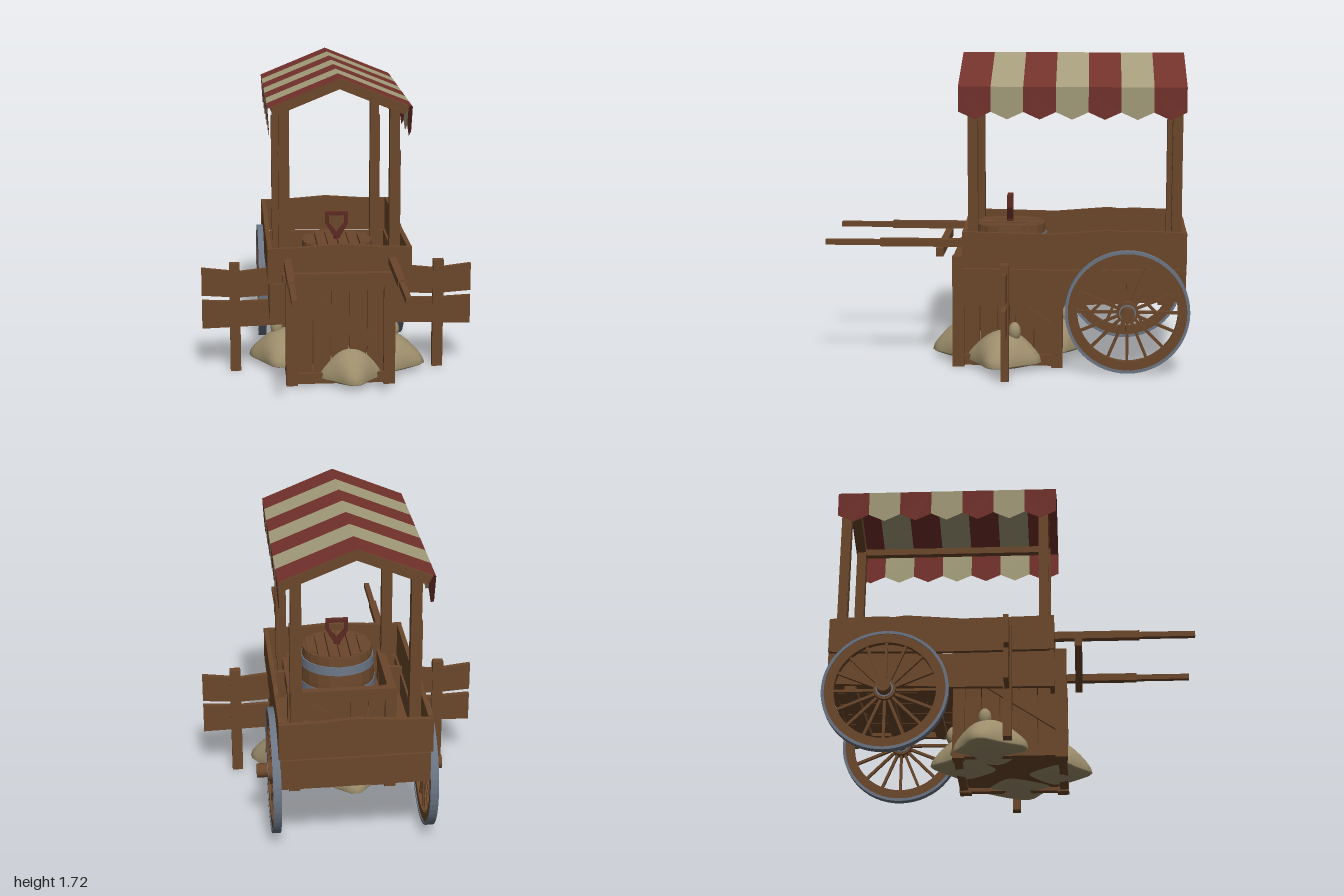
import * as THREE from 'three';
import { mergeVertices } from 'three/addons/utils/BufferGeometryUtils.js';

const mat = (name, color, extra = {}) => Object.assign(new THREE.MeshStandardMaterial({ color, ...extra }), { name });

export function createModel() {
  const root = new THREE.Group();
  root.name = 'marketCart';
  const wood = mat('wood', 0x6b472b);
  const red = mat('redCloth', 0x74322c, { side: THREE.DoubleSide });
  const cream = mat('creamCloth', 0xa59d7b, { side: THREE.DoubleSide });
  const burlap = mat('burlap', 0x9c8d6b);
  const iron = mat('iron', 0x6a7484);
  const grip = mat('redWood', 0x5e2a23);

  const add = (name, geo, material = wood, parent = root) => {
    const m = new THREE.Mesh(geo, material);
    m.name = name;
    parent.add(m);
    return m;
  };
  // Box given by its limits
  const box = (name, x0, x1, y0, y1, z0, z1, parent = root, material = wood) => {
    const m = add(name, new THREE.BoxGeometry(x1 - x0, y1 - y0, z1 - z0), material, parent);
    m.position.set((x0 + x1) / 2, (y0 + y1) / 2, (z0 + z1) / 2);
    return m;
  };
  const toShape = (pts) => new THREE.Shape(pts.map((p) => new THREE.Vector2(...p)));
  // Flat outline in XY, thickened evenly about z = 0
  const plate = (shape, depth, curveSegments = 12) =>
    new THREE.ExtrudeGeometry(shape, { depth, bevelEnabled: false, curveSegments }).translate(0, 0, -depth / 2);
  const ring = (ro, ri, depth) => {
    const s = new THREE.Shape().absarc(0, 0, ro, 0, Math.PI * 2);
    s.holes.push(new THREE.Path().absarc(0, 0, ri, 0, Math.PI * 2, true));
    return plate(s, depth, 28);
  };

  // Cart body: uneven planks around a floor
  const body = new THREE.Group();
  body.name = 'cartBody';
  root.add(body);
  for (const s of [-1, 1]) {
    const lower = toShape([[-0.95, 0.4], [-0.3, 0.37], [0.24, 0.365], [0.24, 0.57], [-0.3, 0.565], [-0.95, 0.575]]);
    const upper = toShape([[-0.95, 0.582], [-0.3, 0.572], [0.24, 0.577], [0.24, 0.775], [0.02, 0.77], [-0.25, 0.765],
      [-0.56, 0.79], [-0.62, 0.782], [-0.7, 0.787], [-0.95, 0.78]]);
    [lower, upper].forEach((sh, i) => {
      const m = add('sidePlank', plate(sh, 0.025), wood, body);
      m.rotation.y = -Math.PI / 2;
      m.position.x = s * (0.376 + i * 0.01);
    });
  }
  const ends = [
    ['frontBoard', 0.228, 0.36],
    ['tailBoard', -0.958, 0.4],
  ];
  for (const [name, z, y0] of ends) {
    const low = add(name, plate(toShape([[-0.39, y0 + 0.01], [0.39, y0], [0.39, 0.568], [-0.39, 0.575]]), 0.024), wood, body);
    const top = add(name, plate(toShape([[-0.4, 0.583], [0.4, 0.576], [0.4, 0.775], [0.2, 0.78], [0, 0.795],
      [-0.2, 0.78], [-0.4, 0.775]]), 0.026), wood, body);
    low.position.z = z;
    top.position.z = z;
  }
  for (let i = 0; i < 5; i++) {
    const x = -0.37 + i * 0.148;
    box('floorPlank', x, x + 0.143, 0.41, 0.435, -0.95, 0.22, body);
  }
  for (const z of [-0.85, -0.42]) box('floorBeam', -0.36, 0.36, 0.375, 0.41, z - 0.03, z + 0.03, body);

  // Canopy frame
  const rafter = toShape([[0, 1.712], [0.38, 1.553], [0.355, 1.508], [0, 1.652], [-0.355, 1.508], [-0.38, 1.553]]);
  for (const z of [0.187, -0.917]) {
    for (const s of [-1, 1]) {
      box('canopyPost', s * 0.302 - 0.027, s * 0.302 + 0.027, 0.42, 1.545, z - 0.027, z + 0.027);
      box('postCollar', s * 0.305 - 0.03, s * 0.305 + 0.03, 0.6, 1.31, z - 0.026, z + 0.026);
    }
    add('rafter', plate(rafter, 0.05)).position.z = z;
  }
  for (const s of [-1, 1]) box('purlin', s * 0.3 - 0.02, s * 0.3 + 0.02, 1.52, 1.56, -0.93, 0.2);
  box('ridgeBeam', -0.02, 0.02, 1.655, 1.7, -0.93, 0.2);

  // Striped canopy cloth with pointed valance
  const cloth = { red: [], cream: [] };
  const step = 1.22 / 7;
  for (let i = 0; i < 7; i++) {
    const list = i % 2 ? cloth.cream : cloth.red;
    const a = 0.26 - i * step, b = a - step, m = (a + b) / 2;
    for (const s of [-1, 1]) {
      const fan = (...p) => {
        for (let k = 1; k < p.length - 1; k++) {
          const tri = s > 0 ? [p[0], p[k], p[k + 1]] : [p[0], p[k + 1], p[k]];
          tri.forEach(([x, y, z]) => list.push(s * x, y, z));
        }
      };
      fan([0, 1.72, a], [0.392, 1.56, a], [0.392, 1.56, b], [0, 1.72, b]);
      fan([0.392, 1.56, a], [0.384, 1.425, a], [0.382, 1.385, m], [0.384, 1.425, b], [0.392, 1.56, b]);
    }
  }
  for (const [key, material] of [['red', red], ['cream', cream]]) {
    const g = new THREE.BufferGeometry();
    g.setAttribute('position', new THREE.Float32BufferAttribute(cloth[key], 3));
    g.computeVertexNormals();
    add(key + 'CanopyStripes', g, material);
  }

  // Wheels and axle
  for (const s of [-1, 1]) {
    const wheel = new THREE.Group();
    wheel.name = s > 0 ? 'leftWheel' : 'rightWheel';
    wheel.position.set(s * 0.411, 0.345, -0.655);
    wheel.rotation.y = Math.PI / 2;
    root.add(wheel);
    add('tyre', ring(0.338, 0.322, 0.044), iron, wheel);
    add('rim', ring(0.323, 0.272, 0.034), wood, wheel);
    add('hub', new THREE.CylinderGeometry(0.06, 0.06, 0.06, 16).rotateX(Math.PI / 2), wood, wheel);
    add('hubBand', ring(0.046, 0.038, 0.066), iron, wheel);
    for (let i = 0; i < 16; i++) {
      const g = new THREE.BoxGeometry(0.015, 0.24, 0.018).translate(0, 0.165, 0).rotateZ((i * Math.PI) / 8);
      add('spoke', g, wood, wheel);
    }
  }
  const axle = add('axle', new THREE.CylinderGeometry(0.038, 0.038, 1, 12).rotateZ(Math.PI / 2));
  axle.position.set(0, 0.345, -0.655);

  // Pulling shafts with cross bar
  for (const s of [-1, 1]) {
    box('shaft', s * 0.29 - 0.02, s * 0.29 + 0.02, 0.675, 0.717, 0.2, 0.7);
    box('shaftGrip', s * 0.29 - 0.015, s * 0.29 + 0.015, 0.68, 0.71, 0.7, 1);
  }
  box('shaftCrossBar', -0.325, 0.325, 0.625, 0.67, 0.35, 0.39);

  // Supporting crate: four framed, braced sides
  const crate = new THREE.Group();
  crate.name = 'crate';
  root.add(crate);
  for (let k = 0; k < 4; k++) {
    const side = new THREE.Group();
    side.name = 'crateSide';
    side.rotation.y = (k * Math.PI) / 2;
    crate.add(side);
    for (let i = 0; i < 5; i++) {
      const x = -0.25 + i * 0.1;
      box('cratePlank', x, x + 0.094, 0.05, 0.57, 0.258, 0.275 + (i % 2) * 0.005, side);
    }
    box('crateStile', -0.304, -0.24, 0, 0.62, 0.25, 0.304, side);
    box('crateStile', 0.24, 0.304, 0, 0.62, 0.25, 0.304, side);
    box('crateRail', -0.24, 0.24, 0.01, 0.07, 0.255, 0.3, side);
    box('crateRail', -0.24, 0.24, 0.55, 0.62, 0.255, 0.3, side);
    const brace = toShape([[-0.24, 0.55], [-0.24, 0.48], [0.24, 0.16], [0.24, 0.25], [-0.17, 0.55]]);
    add('crateBrace', plate(brace, 0.018), wood, side).position.z = 0.286;
  }
  box('crateBottom', -0.26, 0.26, 0.03, 0.05, -0.26, 0.26, crate);

  // Barrel with iron hoops and planked lid
  const profile = [[0, 0.06], [0.185, 0.06], [0.21, 0.24], [0.22, 0.42], [0.212, 0.6], [0.195, 0.765], [0.175, 0.765], [0.175, 0.745], [0, 0.745]];
  add('barrel', new THREE.LatheGeometry(profile.map((p) => new THREE.Vector2(...p)), 20).toNonIndexed()).geometry.computeVertexNormals();
  for (const [y, r0, r1] of [[0.69, 0.212, 0.207], [0.55, 0.22, 0.218]]) {
    add('barrelHoop', new THREE.CylinderGeometry(r1, r0, 0.05, 20), iron).position.y = y;
  }
  for (let i = 0; i < 6; i++) {
    const x = -0.15 + i * 0.06, h = Math.sqrt(0.18 ** 2 - x * x);
    box('lidPlank', x - 0.027, x + 0.027, 0.74, 0.768 + (i % 2) * 0.004, -h, h);
  }

  // Spade handle standing in the barrel
  const dee = toShape([[-0.062, 0.923], [-0.062, 0.855], [-0.02, 0.785], [0.02, 0.785], [0.062, 0.855], [0.062, 0.923]]);
  dee.holes.push(new THREE.Path([[-0.045, 0.905], [0.045, 0.905], [0.045, 0.86], [0, 0.805], [-0.045, 0.86]].map((p) => new THREE.Vector2(...p))));
  add('spadeHandle', plate(dee, 0.03), grip);
  add('spadeShaft', new THREE.CylinderGeometry(0.018, 0.018, 0.08, 8), grip).position.y = 0.77;

  // Short fences on both sides
  for (const s of [-1, 1]) {
    box('fencePost', s * 0.58 - 0.03, s * 0.58 + 0.03, 0, 0.635, -0.022, 0.022);
    const rails = [
      [[0.29, 0.45], [0.56, 0.435], [0.767, 0.45], [0.767, 0.61], [0.56, 0.585], [0.29, 0.615]],
      [[0.29, 0.27], [0.767, 0.255], [0.767, 0.42], [0.56, 0.41], [0.29, 0.42]],
    ];
    for (const r of rails) {
      const g = plate(toShape(r), 0.026);
      if (s < 0) g.rotateY(Math.PI);
      add('fenceRail', g);
    }
  }

  // Slumped sacks with four pointed corners
  const sackGeo = (R) => {
    let g = new THREE.SphereGeometry(1, 32, 16);
    g.deleteAttribute('uv');
    g.deleteAttribute('normal');
    g = mergeVertices(g, 1e-4);
    const p = g.attributes.position;
    for (let i = 0; i < p.count; i++) {
      const x = p.getX(i), y = p.getY(i), z = p.getZ(i);
      const h = Math.hypot(x, z), t = Math.atan2(z, x);
      const r = R * (0.76 * h + 0.24 * Math.abs(Math.cos(2 * t)) ** 3 * h ** 8);
      p.setXYZ(i, r * Math.cos(t), 0.042 + y * (y > 0 ? 0.165 : 0.036), r * Math.sin(t));
    }
    g.computeVertexNormals();
    return g;
  };
  const sacks = [[0.29, 0.02, -0.24, 0.215], [-0.29, -0.11, -0.24, 0.215], [0.06, 0.25, 0.08, 0.185], [-0.05, -0.25, 0.1, 0.19]];
  for (const [x, z, turn, R] of sacks) {
    const m = add('sack', sackGeo(R), burlap);
    m.position.set(x, 0, z);
    m.rotation.y = turn;
  }
  for (const [x, z] of [[0.33, -0.04], [-0.34, -0.13], [-0.08, -0.32]]) {
    const m = add('sackEar', new THREE.SphereGeometry(0.035, 12, 8), burlap);
    m.scale.y = 1.5;
    m.position.set(x, 0.21, z);
  }
  return root;
}
